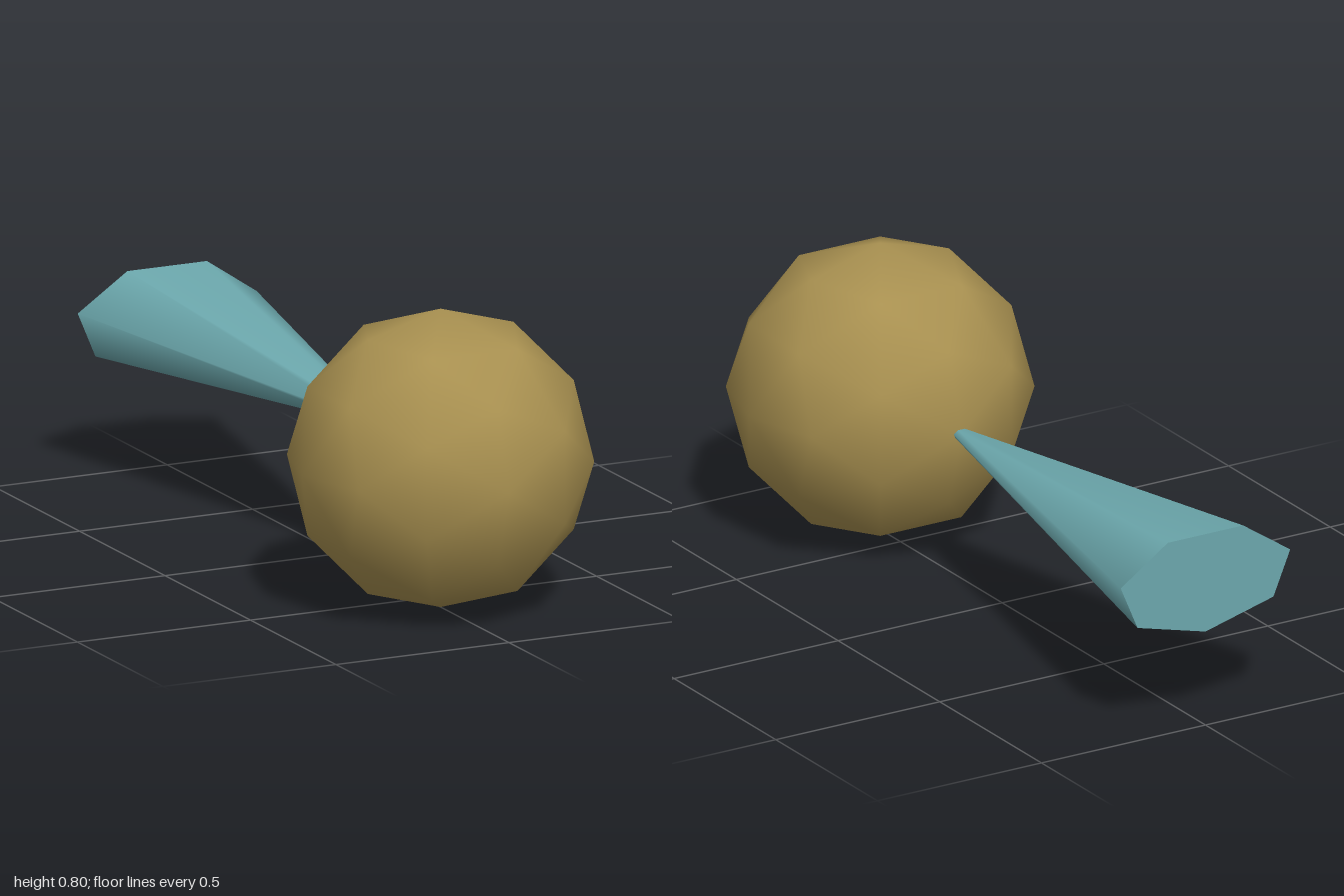
import * as THREE from 'three';

export function createModel() {
  const model = new THREE.Group();

  const add = (name, geometry, color, x, y, z) => {
    const mesh = new THREE.Mesh(geometry, new THREE.MeshStandardMaterial({ color }));
    mesh.name = name;
    mesh.position.set(x, y, z);
    model.add(mesh);
  };

  // Faceted ball with smooth shading
  add('ball', new THREE.IcosahedronGeometry(0.4, 1), 0xa89050, 0, 0.4, 0.6);

  // Flattened seven-sided tail, narrow end touching the ball, one corner down
  const tail = new THREE.CylinderGeometry(0.024, 0.265, 1.2, 7);
  tail.rotateX(Math.PI / 2);
  tail.scale(1, 0.54, 1);
  add('tail', tail, 0x6ca8ad, 0, 0.404, -0.4);

  return model;
}
